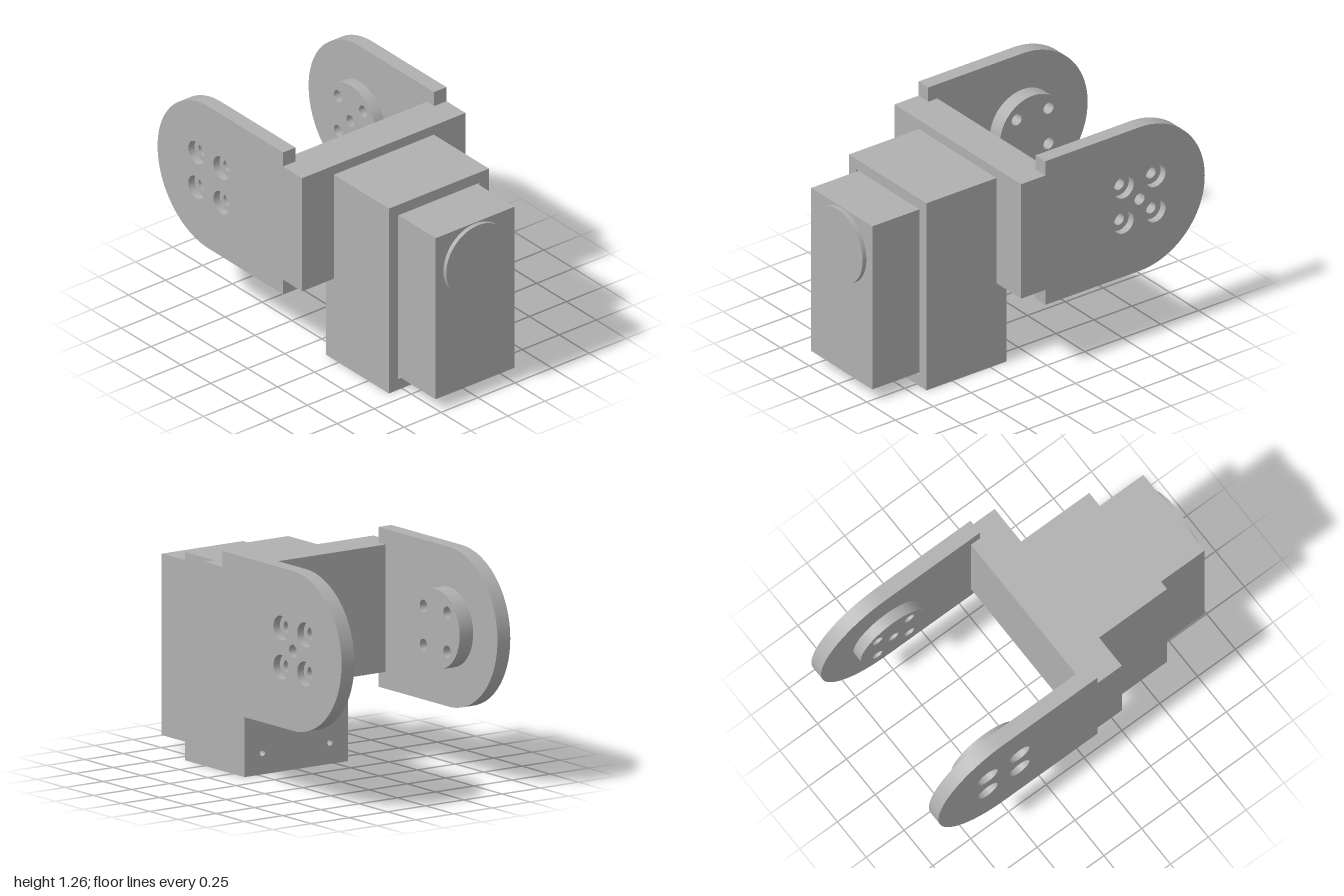
import * as THREE from 'three';
import { toCreasedNormals } from 'three/addons/utils/BufferGeometryUtils.js';

const grey = new THREE.MeshStandardMaterial({ color: 0xb0b0b0 });
grey.name = 'grey';

const PIVOT = [-0.572, 0.83]; // joint axis
const OUT = 0.552, IN = 0.468, SEAT = 0.51; // plate faces and counterbore seat

function addMesh(parent, name, geometry) {
  const mesh = new THREE.Mesh(geometry, grey);
  mesh.name = name;
  parent.add(mesh);
  return mesh;
}

function circle(cx, cy, r, Type = THREE.Path) {
  const c = new Type();
  c.absarc(cx, cy, r, 0, Math.PI * 2);
  return c;
}

function rect(w, y0, y1, Type = THREE.Shape) {
  return new Type([[-w, y0], [w, y0], [w, y1], [-w, y1]].map(p => new THREE.Vector2(...p)));
}

function extrude(shape, from, to) {
  const g = new THREE.ExtrudeGeometry(shape, { depth: to - from, bevelEnabled: false, curveSegments: 32 });
  g.translate(0, 0, from);
  return toCreasedNormals(g, 0.5);
}

// Extrusion along x; shape coordinates are (-z, y)
const extrudeX = (shape, from, to) => extrude(shape, from, to).rotateY(Math.PI / 2);

// Rounded bracket side with a narrower tab that joins the bridge
function plateShape() {
  const s = new THREE.Shape();
  s.moveTo(PIVOT[0], 0.4);
  s.lineTo(0.05, 0.4);
  s.lineTo(0.05, 0.49);
  s.lineTo(0.21, 0.49);
  s.lineTo(0.21, 1.175);
  s.lineTo(0.05, 1.175);
  s.lineTo(0.05, 1.26);
  s.lineTo(PIVOT[0], 1.26);
  s.absarc(PIVOT[0], PIVOT[1], 0.43, Math.PI / 2, Math.PI * 1.5, false);
  return s;
}

// Four screw holes, and the axle hole where wanted
function drill(shape, r, axle) {
  for (const dx of [-0.105, 0.105])
    for (const dy of [-0.105, 0.105])
      shape.holes.push(circle(PIVOT[0] + dx, PIVOT[1] + dy, r));
  if (axle) shape.holes.push(circle(...PIVOT, 0.033));
  return shape;
}

function bracketSide(name, side, bossFace, axle) {
  const group = new THREE.Group();
  group.name = name;
  const layer = (part, shape, a, b) =>
    addMesh(group, part, extrude(shape, Math.min(a * side, b * side), Math.max(a * side, b * side)));
  layer('plateOuter', drill(plateShape(), 0.066, axle), SEAT, OUT);
  layer('plateInner', drill(plateShape(), 0.033, axle), IN, SEAT);
  layer('hornDisc', drill(circle(...PIVOT, 0.215, THREE.Shape), 0.033, axle), bossFace, IN);
  return group;
}

export function createModel() {
  const model = new THREE.Group();
  model.name = 'servoBracket';

  // U-shaped bracket
  model.add(bracketSide('frontSide', 1, 0.38, false));
  model.add(bracketSide('backSide', -1, 0.405, true));
  const bridge = addMesh(model, 'bridge', new THREE.BoxGeometry(0.22, 0.685, IN * 2));
  bridge.position.set(0.1, 0.8325, 0);

  // Motor housing: drilled rear wall, core, and rim around the cap
  const housing = new THREE.Group();
  housing.name = 'housing';
  model.add(housing);
  const wall = rect(0.338, 0, 1.12);
  for (const u of [-0.22, 0.22]) wall.holes.push(circle(u, 0.115, 0.017));
  addMesh(housing, 'rearWall', extrudeX(wall, 0.145, 0.25));
  addMesh(housing, 'core', extrudeX(rect(0.338, 0, 1.12), 0.25, 0.63));
  const rim = rect(0.338, 0, 1.12);
  rim.holes.push(rect(0.275, 0.066, 1.057, THREE.Path));
  addMesh(housing, 'rim', extrudeX(rim, 0.63, 0.672));

  // Motor cap and round end disc
  addMesh(model, 'cap', extrudeX(rect(0.266, 0.074, 1.05), 0.63, 0.975));
  addMesh(model, 'endDisc', extrudeX(circle(0, 0.83, 0.214, THREE.Shape), 0.975, 1));

  return model;
}
